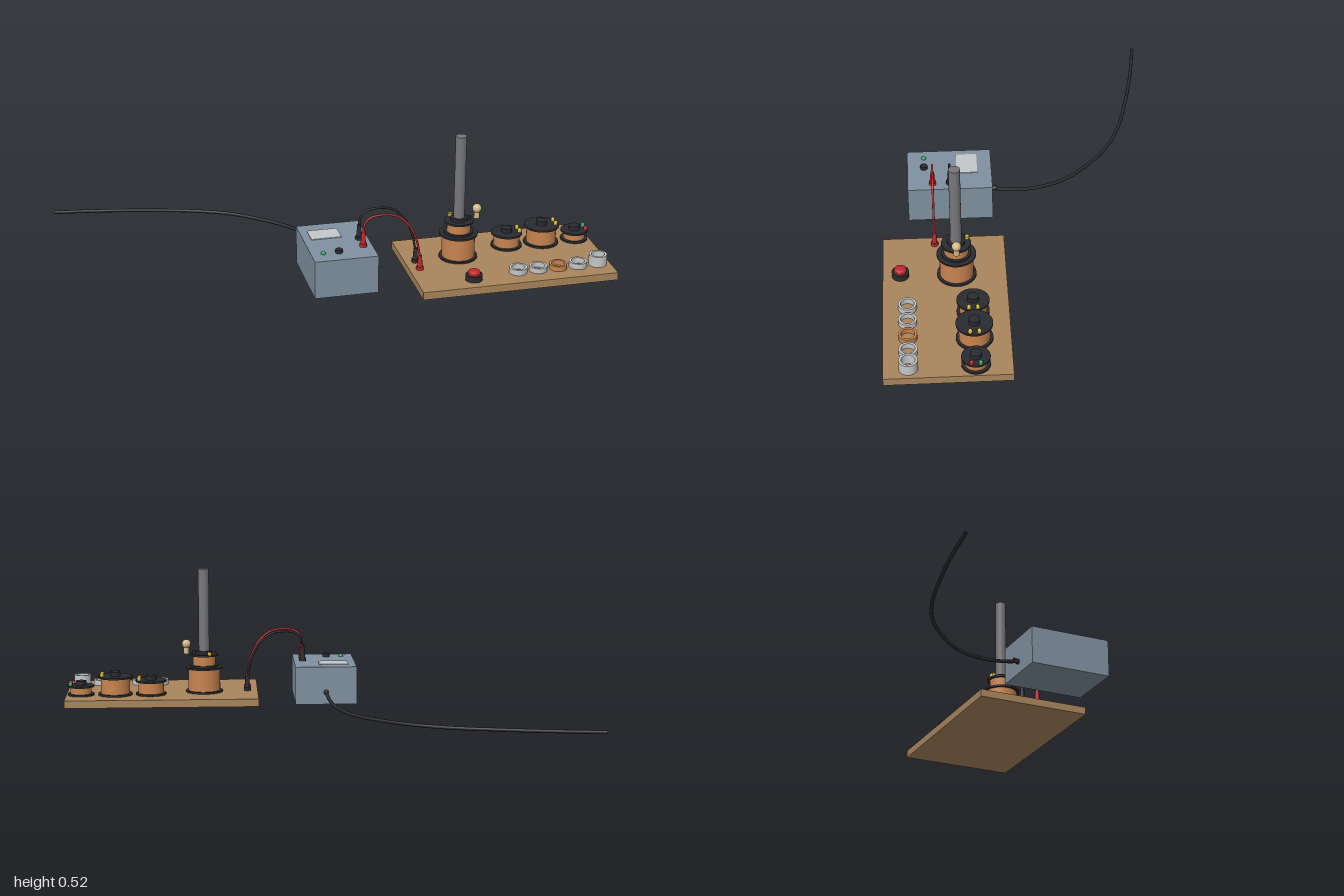
import * as THREE from 'three';

const mat = (name, color) => {
  const m = new THREE.MeshStandardMaterial({ color });
  m.name = name;
  return m;
};

export function createModel() {
  const wood = mat('wood', 0xa9865c), steelBlue = mat('steelBlue', 0x8091a0);
  const copper = mat('copper', 0xc8844f), black = mat('black', 0x2a2b30);
  const iron = mat('iron', 0x77777b), aluminium = mat('aluminium', 0xc4c7c9);
  const red = mat('red', 0xc1272d), green = mat('green', 0x2fae66);
  const yellow = mat('yellow', 0xd9b92c), glass = mat('glass', 0xd2b98a);

  const model = new THREE.Group();
  model.name = 'inductionDemo';
  const add = (name, geo, material, x, y, z, parent = model) => {
    const mesh = new THREE.Mesh(geo, material);
    mesh.name = name;
    mesh.position.set(x, y, z);
    parent.add(mesh);
    return mesh;
  };
  // Upright cylinder given by its bottom and top heights
  const post = (name, material, r, y0, y1, x, z, parent, rTop = r) =>
    add(name, new THREE.CylinderGeometry(rTop, r, y1 - y0, 32), material, x, (y0 + y1) / 2, z, parent);
  const tube = (name, material, points, r) => {
    const curve = new THREE.CatmullRomCurve3(points.map((p) => new THREE.Vector3(...p)));
    return add(name, new THREE.TubeGeometry(curve, 64, r, 10), material, 0, 0, 0);
  };

  // Base board and supply box
  const deck = 0.03, lid = 0.148;
  add('baseBoard', new THREE.BoxGeometry(0.755, deck, 0.46), wood, 0.6225, deck / 2, 0.31);
  add('supplyBox', new THREE.BoxGeometry(0.24, lid, 0.325), steelBlue, -0.02, lid / 2, 0.2775);
  add('boxLabel', new THREE.BoxGeometry(0.115, 0.003, 0.08), aluminium, -0.053, lid + 0.0015, 0.21);
  post('boxKnob', black, 0.014, lid, lid + 0.013, -0.035, 0.376);
  add('boxLamp', new THREE.SphereGeometry(0.009, 16, 12), green, -0.094, lid + 0.002, 0.376);

  // Mains cable trailing off behind the box
  tube('mainsCable', black, [
    [-0.02, 0.05, 0.118], [-0.025, 0.036, 0.05], [-0.045, 0.022, -0.05], [-0.1, 0.013, -0.17],
    [-0.2, 0.01, -0.28], [-0.32, 0.009, -0.37], [-0.45, 0.008, -0.427], [-0.62, 0.008, -0.472],
    [-0.8, 0.008, -0.51], [-1, 0.008, -0.54],
  ], 0.0068);
  const relief = post('cableRelief', black, 0.01, 0, 0.03, -0.02, 0);
  relief.rotation.x = Math.PI / 2 + 0.2;
  relief.position.set(-0.02, 0.049, 0.108);

  // Patch leads with a plug at each end
  for (const [name, material, z] of [['black', black, 0.278], ['red', red, 0.344]]) {
    for (const [x, y] of [[0.065, lid], [0.285, deck]]) {
      post(name + 'Socket', material, 0.014, y, y + 0.012, x, z);
      post(name + 'Plug', material, 0.01, y + 0.012, y + 0.058, x, z, model, 0.007);
    }
    tube(name + 'Lead', material, [
      [0.065, 0.195, z], [0.07, 0.235, z], [0.092, 0.26, z], [0.14, 0.267, z],
      [0.19, 0.258, z], [0.235, 0.222, z], [0.268, 0.158, z], [0.285, 0.08, z],
    ], 0.0042);
  }

  // Wound bobbin: two flanges with a copper winding between them
  const bobbin = (name, x, z, y0, y1, rWire, rFlange) => {
    const g = new THREE.Group();
    g.name = name;
    model.add(g);
    const t = 0.007;
    post('lowerFlange', black, rFlange, y0, y0 + t, x, z, g);
    post('winding', copper, rWire, y0 + t, y1 - t, x, z, g);
    post('upperFlange', black, rFlange, y1 - t, y1, x, z, g);
    return g;
  };

  // Primary and upper coil around the tall iron core
  const cx = 0.457, cz = 0.265;
  bobbin('primaryCoil', cx, cz, deck, 0.131, 0.063, 0.073);
  bobbin('upperCoil', cx, cz, 0.131, 0.182, 0.045, 0.055);
  post('coreCollar', black, 0.032, 0.182, 0.194, cx, cz);
  post('ironCore', iron, 0.021, 0.182, 0.522, cx, cz);
  post('coilTerminal', yellow, 0.008, 0.182, 0.194, 0.435, 0.224);
  post('coilTerminal', black, 0.008, 0.182, 0.194, 0.497, 0.265);

  // Test bulb beside the core
  post('bulbBase', glass, 0.011, 0.183, 0.208, 0.527, cz);
  add('bulb', new THREE.SphereGeometry(0.0175, 24, 16), glass, 0.527, 0.222, cz);

  // Three small pick-up coils, each with a hub and a pair of lamps
  const pickups = [
    [0.667, 0.088, 0.05, 0.06, yellow, yellow],
    [0.807, 0.105, 0.057, 0.067, yellow, yellow],
    [0.942, 0.07, 0.041, 0.052, red, green],
  ];
  for (const [x, top, rWire, rFlange, lampA, lampB] of pickups) {
    const g = bobbin('pickupCoil', x, 0.212, deck, top, rWire, rFlange);
    post('hub', black, 0.021, top, top + 0.017, x, 0.212, g);
    for (const [lamp, dz] of [[lampA, 0.016], [lampB, -0.016]]) {
      const lx = x + rFlange * 0.77;
      post('lampBase', lamp, 0.0075, top, top + 0.008, lx, 0.212 + dz, g);
      add('lamp', new THREE.SphereGeometry(0.0075, 16, 10), lamp, lx, top + 0.008, 0.212 + dz, g);
    }
  }

  // Push button
  post('buttonBase', black, 0.032, deck, 0.052, 0.457, 0.474);
  post('buttonCap', red, 0.023, 0.052, 0.062, 0.457, 0.474);
  add('buttonDome', new THREE.SphereGeometry(0.023, 24, 10, 0, Math.PI * 2, 0, Math.PI / 2), red,
    0.457, 0.062, 0.474).scale.y = 0.4;

  // Row of loose metal rings
  const ring = (ro, ri, h) => {
    const shape = new THREE.Shape().absarc(0, 0, ro, 0, Math.PI * 2);
    shape.holes.push(new THREE.Path().absarc(0, 0, ri, 0, Math.PI * 2, true));
    return new THREE.ExtrudeGeometry(shape, { depth: h, bevelEnabled: false, curveSegments: 24 })
      .rotateX(-Math.PI / 2);
  };
  [[0.022, aluminium], [0.02, aluminium], [0.02, copper], [0.022, aluminium], [0.042, aluminium]]
    .forEach(([h, material], i) =>
      add('looseRing', ring(0.034, 0.025, h), material, 0.637 + i * 0.0785, deck, 0.45));

  return model;
}
